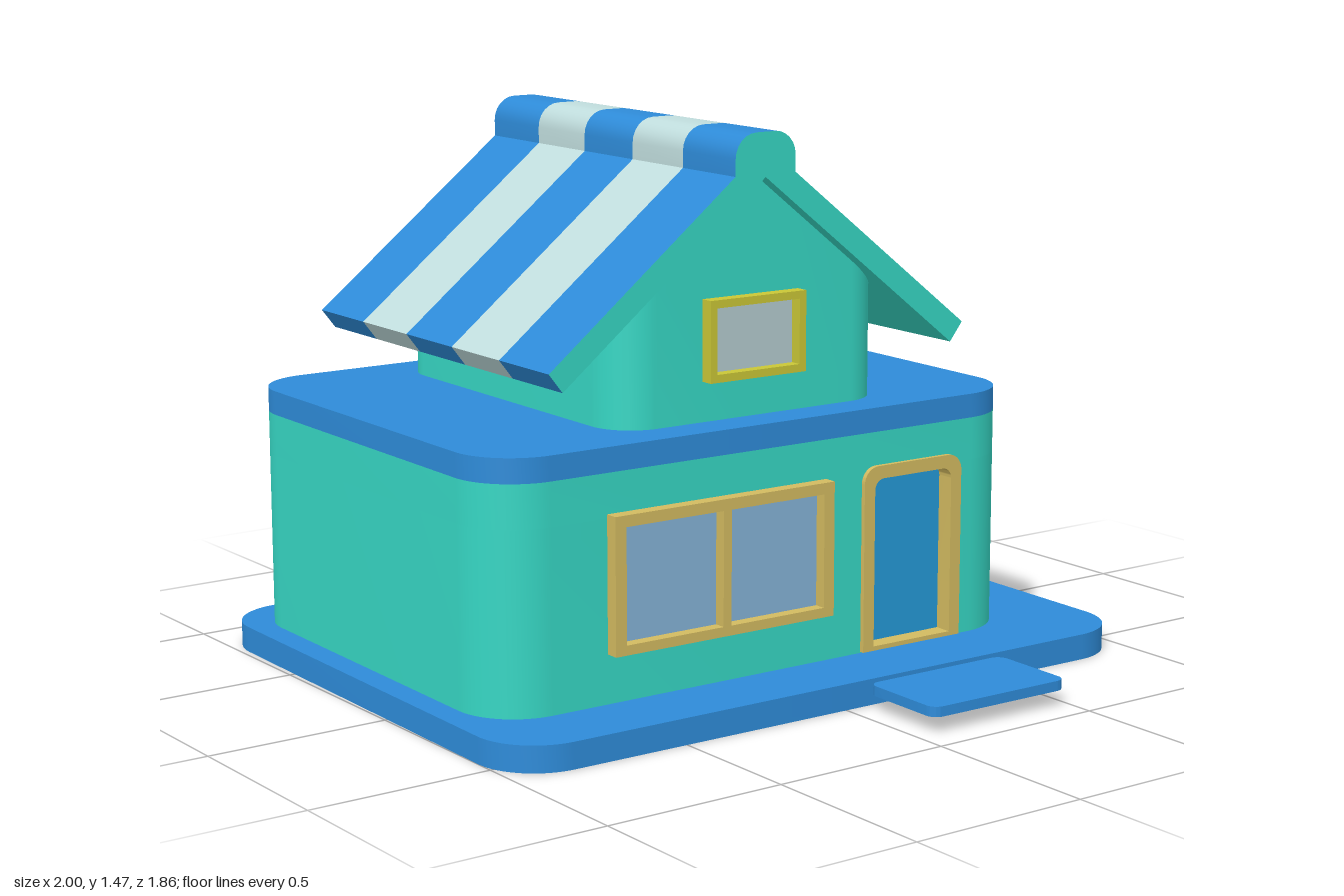
import * as THREE from 'three';
import { toCreasedNormals } from 'three/addons/utils/BufferGeometryUtils.js';

const mat = (name, color, side = THREE.FrontSide) => {
  const m = new THREE.MeshStandardMaterial({ color, side });
  m.name = name;
  return m;
};

// Rounded rectangle; rt = radius of upper corners, rb = lower corners.
// notch = [xStart, xEnd, depth] cuts into the lower edge.
function outline(path, x0, y0, x1, y1, rt, rb = rt, notch = null) {
  const mid = (x0 + x1) / 2;
  path.moveTo(x0 + rb, y0);
  if (notch) {
    const [a, b, d] = notch;
    path.lineTo(a, y0).lineTo(a, y0 + d).lineTo(b, y0 + d).lineTo(b, y0);
  } else path.lineTo(mid, y0);
  path.lineTo(x1 - rb, y0);
  if (rb) path.absarc(x1 - rb, y0 + rb, rb, -Math.PI / 2, 0, false);
  path.lineTo(x1, y1 - rt);
  if (rt) path.absarc(x1 - rt, y1 - rt, rt, 0, Math.PI / 2, false);
  path.lineTo(mid, y1);
  path.lineTo(x0 + rt, y1);
  if (rt) path.absarc(x0 + rt, y1 - rt, rt, Math.PI / 2, Math.PI, false);
  path.lineTo(x0, y0 + rb);
  if (rb) path.absarc(x0 + rb, y0 + rb, rb, Math.PI, Math.PI * 1.5, false);
  return path;
}

const extrude = (shape, depth) =>
  new THREE.ExtrudeGeometry(shape, { depth, bevelEnabled: false, curveSegments: 10 });

// Rounded slab standing between y0 and y1
function slab(x0, x1, zBack, zFront, y0, y1, r, notch) {
  const g = extrude(outline(new THREE.Shape(), x0, -zFront, x1, -zBack, r, r, notch), y1 - y0);
  return g.rotateX(-Math.PI / 2).translate(0, y0, 0);
}

// Surface swept along z over a polyline of [x, y] points
function sweep(points, zBack, zFront) {
  const n = points.length;
  const g = new THREE.PlaneGeometry(1, 1, n - 1, 1);
  const p = g.attributes.position;
  for (let i = 0; i < p.count; i++) {
    const [x, y] = points[i % n];
    p.setXYZ(i, x, y, i < n ? zBack : zFront);
  }
  return toCreasedNormals(g, 0.6);
}

export function createModel() {
  const blue = mat('blue', 0x2e8bd8);
  const teal = mat('teal', 0x36d6c3);
  const pale = mat('paleStripe', 0xc0dddd);
  const tan = mat('tanFrame', 0xd2ba60);
  const yellow = mat('yellowFrame', 0xc9c636);
  const glass = mat('blueGlass', 0x84b2d6);
  const atticGlass = mat('paleGlass', 0xb4cacf);
  const doorBlue = mat('doorBlue', 0x2498d6);

  const house = new THREE.Group();
  house.name = 'house';
  const add = (name, geometry, material, parent = house) => {
    const mesh = new THREE.Mesh(geometry, material);
    mesh.name = name;
    parent.add(mesh);
    return mesh;
  };
  const addSlab = (name, material, ...args) =>
    add(name, toCreasedNormals(slab(...args), 0.6), material);

  // Ground plate and loose door step
  addSlab('groundPlate', blue, -0.993, 0.989, -0.918, 0.628, 0, 0.07, 0.17);
  addSlab('doorStep', blue, 0.058, 0.5, 0.658, 0.919, 0.043, 0.07, 0.03);

  // Ground floor walls, with a niche for the door, and the flat roof trim
  const floor = [-0.922, 0.757, -0.859, 0.421];
  addSlab('lowerWalls', teal, ...floor, 0.07, 0.55, 0.17, [0.24, 0.522, 0.045]);
  addSlab('upperWalls', teal, ...floor, 0.55, 0.665, 0.17);
  addSlab('flatRoof', blue, ...floor, 0.665, 0.73, 0.17);

  // Attic block, its top raised into a gable
  const axis = -0.05, slope = 0.79, apex = 1.354;
  const attic = slab(-0.48, 0.38, -0.775, 0.311, 0.73, 0.9, 0.12);
  const ap = attic.attributes.position;
  for (let i = 0; i < ap.count; i++)
    if (ap.getY(i) > 0.8) ap.setY(i, apex - 0.002 - slope * Math.abs(ap.getX(i) - axis));
  add('atticWalls', toCreasedNormals(attic, 0.5), teal);

  // Gable roof profile: eave tip, slope, rounded ridge cap, then mirrored
  const half = [[-0.62, 0.864], [-0.66, 0.915], [-0.095, 1.361]];
  for (let i = 0; i <= 6; i++) {
    const a = (i / 6) * Math.PI / 2;
    half.push([-0.03 - 0.065 * Math.cos(a), 1.405 + 0.065 * Math.sin(a)]);
  }
  const mirrored = half.map(([x, y]) => [-x, y]).reverse();
  const outer = [...half, ...mirrored].map(([x, y]) => [x + axis, y]);
  const under = [[0.62 + axis, 0.864], [axis, apex], [-0.62 + axis, 0.864]];

  const roof = new THREE.Group();
  roof.name = 'gableRoof';
  house.add(roof);
  const back = -0.81, front = 0.35, step = (front - back) / 5;
  for (let i = 0; i < 5; i++)
    add('roofStripe' + (i + 1), sweep(outer, back + i * step, back + (i + 1) * step),
      i % 2 ? pale : blue, roof);
  add('roofUnderside', sweep(under, back, front), teal, roof);
  const section = new THREE.Shape([...outer, under[1]].map(([x, y]) => new THREE.Vector2(x, y)));
  add('roofFrontEnd', new THREE.ShapeGeometry(section).translate(0, 0, front), teal, roof);
  // the profile is symmetric about its axis, so a half turn makes the back end
  add('roofBackEnd', new THREE.ShapeGeometry(section).rotateY(Math.PI)
    .translate(2 * axis, 0, back), teal, roof);

  // Framed opening facing +z: o = outer rect, holes = inner rects [x0, y0, x1, y1]
  function framed(name, o, holes, depth, frameMat, paneMat, rOut = 0, rIn = 0, rb = 0) {
    const g = new THREE.Group();
    g.name = name;
    const shape = outline(new THREE.Shape(), ...o, rOut, rb);
    for (const h of holes) {
      shape.holes.push(outline(new THREE.Path(), ...h, rIn, 0));
      const pane = new THREE.PlaneGeometry(h[2] - h[0] + 0.01, h[3] - h[1] + 0.01);
      pane.translate((h[0] + h[2]) / 2, (h[1] + h[3]) / 2, 0.004);
      add(name + 'Pane', pane, paneMat, g);
    }
    add(name + 'Frame', toCreasedNormals(extrude(shape, depth), 0.6), frameMat, g);
    house.add(g);
    return g;
  }

  // Wide front window with two panes
  framed('frontWindow', [-0.588, 0.2, 0.097, 0.56],
    [[-0.555, 0.226, -0.258, 0.53], [-0.233, 0.226, 0.064, 0.53]],
    0.037, tan, glass).position.z = 0.421;

  // Door set back in its niche
  framed('door', [0.216, 0.073, 0.546, 0.575], [[0.251, 0.085, 0.511, 0.54]],
    0.054, tan, doorBlue, 0.045, 0.03).position.z = 0.38;

  // Side window on the right-hand wall of the front view
  const side = framed('sideWindow', [-0.305, 0.265, 0.305, 0.585], [[-0.255, 0.308, 0.255, 0.542]],
    0.039, tan, glass, 0.015, 0, 0.015);
  side.position.set(0.757, 0, -0.165);
  side.rotation.y = Math.PI / 2;

  // Attic windows, front and back
  for (const isFront of [true, false]) {
    const w = framed(isFront ? 'atticFrontWindow' : 'atticBackWindow',
      [-0.152, 0.836, 0.152, 1.05], [[-0.131, 0.857, 0.131, 1.029]],
      0.037, yellow, atticGlass);
    w.position.set(-0.068, 0, isFront ? 0.311 : -0.772);
    w.rotation.y = isFront ? 0 : Math.PI;
  }

  // The whole house sits very slightly turned
  house.rotation.y = -0.0145;
  const model = new THREE.Group();
  model.name = 'model';
  model.add(house);
  return model;
}
